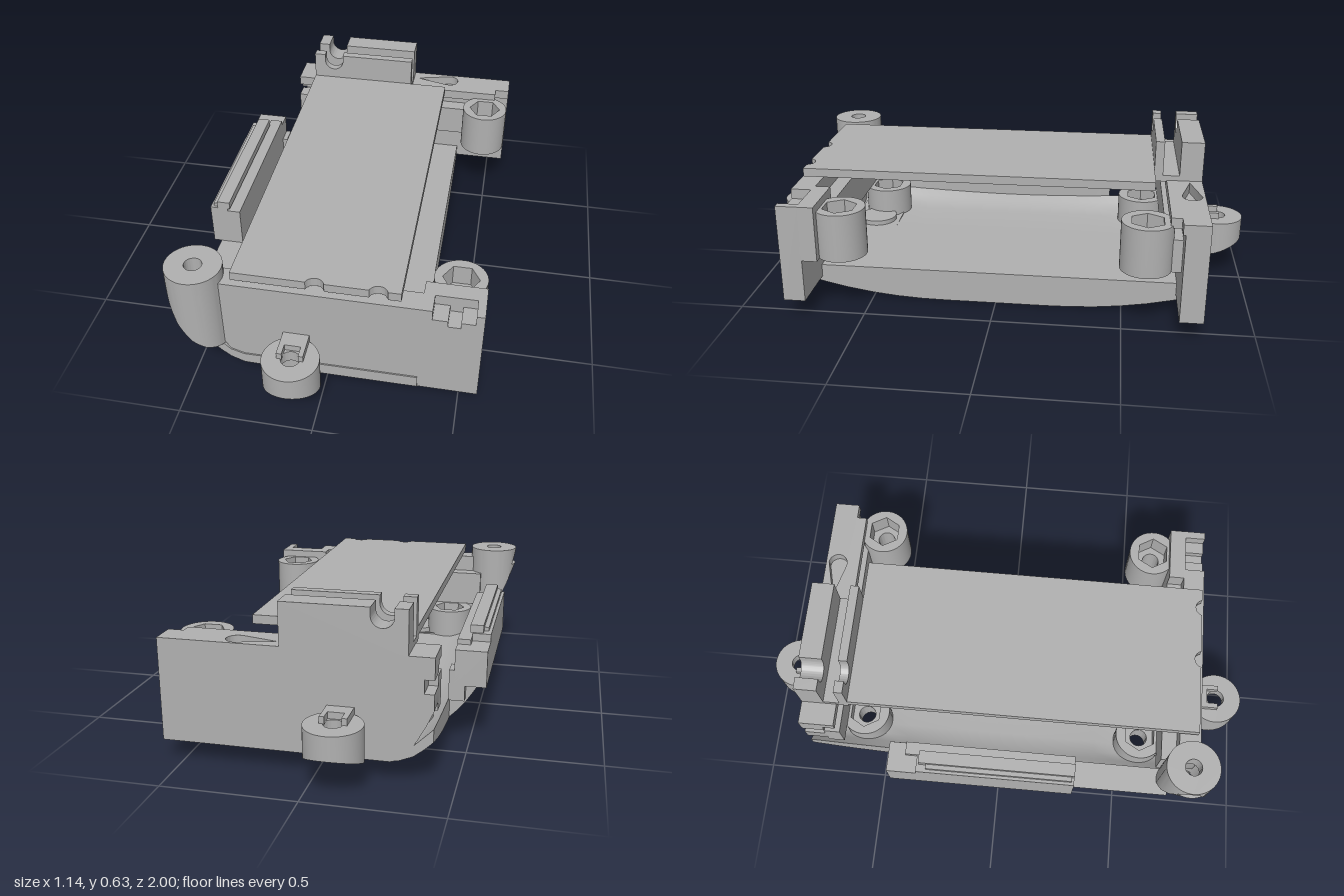
import * as THREE from 'three';
import { mergeGeometries, toCreasedNormals } from 'three/addons/utils/BufferGeometryUtils.js';

const grey = new THREE.MeshStandardMaterial({ color: 0xb0b0b0 });
grey.name = 'plain grey';

// Underside height: bows up towards both ends (z) and towards the left rim (x)
const bow = z => 0.155 * Math.pow(Math.max(0, (Math.abs(z) - 0.2) / 0.8), 2.2);
const lerpTable = (t, x) => {
  if (x <= t[0][0]) return t[0][1];
  for (let i = 1; i < t.length; i++) {
    const [x0, y0] = t[i - 1], [x1, y1] = t[i];
    if (x <= x1) return y0 + (y1 - y0) * (x - x0) / (x1 - x0);
  }
  return t[t.length - 1][1];
};
const rimCurve = x => lerpTable([[-0.42, 0.085], [-0.385, 0.052], [-0.35, 0.025], [-0.315, 0.008], [-0.28, 0]], x);
const floorTop = (x, z) => 0.13 + lerpTable([[-0.42, 1], [-0.385, 0.6], [-0.35, 0.2], [-0.3, 0]], x) * (0.04 + 0.07 * z * z);

const polygon = pts => new THREE.Shape(pts.map(p => new THREE.Vector2(p[0], p[1])));
const rect = (x0, y0, x1, y1) => polygon([[x0, y0], [x1, y0], [x1, y1], [x0, y1]]);
const disc = (x, y, r, Kind = THREE.Shape) => {
  const s = new Kind();
  s.absarc(x, y, r, 0, Math.PI * 2, false);
  return s;
};

// Plan shape (x, -z) raised from y0 to y1, optionally with reshaped bottom and top
function upright(shape, y0, y1, bottom, top) {
  const g = new THREE.ExtrudeGeometry(shape, { depth: y1 - y0, bevelEnabled: false, curveSegments: 32 });
  g.rotateX(-Math.PI / 2).translate(0, y0, 0);
  const p = g.attributes.position, mid = (y0 + y1) / 2;
  for (let i = 0; i < p.count; i++) {
    const f = p.getY(i) < mid ? bottom : top;
    if (f) p.setY(i, f(p.getX(i), p.getZ(i)));
  }
  return g;
}
// Side profile (x, y) swept from z0 to z1
const along = (shape, z0, z1, steps = 1) =>
  new THREE.ExtrudeGeometry(shape, { depth: z1 - z0, steps, bevelEnabled: false, curveSegments: 24 }).translate(0, 0, z0);

// Upright tube with a round or six-sided bore
function tube(x, z, r, bore, y0, y1, bottom, sides) {
  const s = disc(x, -z, r);
  if (sides) {
    const hole = [];
    for (let i = 0; i < sides; i++) {
      const a = i / sides * Math.PI * 2;
      hole.push(new THREE.Vector2(x + bore * Math.cos(a), -z + bore * Math.sin(a)));
    }
    s.holes.push(new THREE.Path(hole));
  } else s.holes.push(disc(x, -z, bore, THREE.Path));
  return upright(s, y0, y1, bottom);
}

export function createModel() {
  const model = new THREE.Group();
  const add = (name, ...geos) => {
    const g = toCreasedNormals(mergeGeometries(geos.map(q => q.index ? q.toNonIndexed() : q)), 0.5);
    const mesh = new THREE.Mesh(g, grey);
    mesh.name = name;
    model.add(mesh);
  };
  const box = (x0, x1, y0, y1, z0, z1) =>
    new THREE.BoxGeometry(x1 - x0, y1 - y0, z1 - z0).translate((x0 + x1) / 2, (y0 + y1) / 2, (z0 + z1) / 2);

  // Bowed floor, made of cells; two of them carry a pair of round holes
  const under = (x, z) => bow(z) + rimCurve(x);
  const cells = [];
  const cell = (x0, x1, z0, z1, holes) => {
    const s = rect(x0, -z1, x1, -z0);
    if (holes) for (const x of [-0.28, -0.148])
      s.holes.push(disc(x, -(z0 + z1) / 2, 0.063, THREE.Path));
    cells.push(upright(s, 0, 0.2, under, floorTop));
  };
  const xs = [-0.42, -0.385, -0.35, -0.3, -0.08, 0.35];
  for (let i = 0; i < 16; i++) {
    const z0 = -0.8 + i * 0.1, z1 = z0 + 0.1, holed = Math.abs(z0 + 0.05) > 0.5 && Math.abs(z0 + 0.05) < 0.7;
    for (let j = 0; j < 5; j++)
      if (!(holed && (j === 2 || j === 3))) cell(xs[j], xs[j + 1], z0, z1);
  }
  for (const s of [-1, 1]) cell(-0.35, -0.08, s * 0.6 - 0.1, s * 0.6 + 0.1, true);
  add('floorShell', ...cells);

  // Raised skirt on the left side, following the bow
  const skirt = along(polygon([[-0.42, 0.085], [-0.42, 0.24], [-0.53, 0.24], [-0.51, 0.195], [-0.48, 0.15], [-0.45, 0.115]]), -0.4, 0.7, 11);
  const sp = skirt.attributes.position;
  for (let i = 0; i < sp.count; i++) {
    const b = bow(sp.getZ(i));
    if (sp.getY(i) < 0.23) sp.setXY(i, sp.getX(i) + b * 0.4, sp.getY(i) + b);
  }
  add('leftSkirt', skirt);

  // Left panel with its ledge and end block
  add('sidePanel', box(-0.56, -0.49, 0.24, 0.41, -0.32, 0.31), box(-0.49, -0.44, 0.24, 0.4, -0.37, 0.31));
  add('panelLedge', box(-0.53, -0.48, 0.41, 0.44, -0.31, 0.31), box(-0.548, -0.53, 0.41, 0.425, -0.28, 0.3));
  add('panelEndBlock', box(-0.56, -0.44, 0.24, 0.38, -0.44, -0.32), box(-0.48, -0.42, 0.18, 0.3, -0.44, -0.37));

  // End walls
  const heel = [[-0.42, 0.28], [-0.395, 0.225], [-0.365, 0.17], [-0.335, 0.12], [-0.305, 0.09], [-0.27, 0.08]];
  add('frontWall', along(polygon([...heel, [0.57, 0.08], [0.57, 0.47], [0.54, 0.47], [0.54, 0.43], [0.49, 0.43],
    [0.49, 0.405], [0.445, 0.405], [0.445, 0.43], [0.39, 0.43], [0.39, 0.47], [-0.42, 0.47]]), 0.71, 0.795));
  add('frontWallInnerRib', box(-0.42, 0.35, 0.25, 0.4, 0.65, 0.715), box(0.35, 0.57, 0.25, 0.47, 0.65, 0.715));
  add('rearWall', along(polygon([...heel, [0.57, 0.08], [0.57, 0.43], [-0.42, 0.43], [-0.42, 0.39], [-0.385, 0.39],
    [-0.385, 0.34], [-0.42, 0.34]]), -0.8, -0.71));

  // Rear wall cap with a teardrop recess
  const cap = polygon([[-0.42, 0.66], [0.51, 0.66], [0.51, 0.7], [0.57, 0.7], [0.57, 0.8], [-0.42, 0.8]]);
  const drop = new THREE.Path();
  drop.moveTo(0.14, 0.75);
  drop.lineTo(0.28, 0.712);
  drop.absarc(0.29, 0.75, 0.038, -Math.PI / 2, Math.PI / 2, false);
  drop.lineTo(0.14, 0.75);
  cap.holes.push(drop);
  add('rearWallCap', upright(cap, 0.43, 0.47));
  add('rearWallInnerRib', box(-0.42, 0.5, 0.25, 0.38, -0.715, -0.65));

  // Raised rear uprights with a rounded notch
  const notched = y0 => {
    const s = new THREE.Shape();
    s.moveTo(-0.33, y0);
    s.lineTo(0.12, y0);
    s.lineTo(0.12, 0.63);
    s.lineTo(-0.2, 0.63);
    s.lineTo(-0.2, 0.6);
    s.absarc(-0.241, 0.6, 0.041, 0, Math.PI, true);
    s.lineTo(-0.282, 0.63);
    s.lineTo(-0.33, 0.63);
    return s;
  };
  add('rearBlock', along(notched(0.46), -0.8, -0.71));
  add('rearFin', along(notched(0.485), -0.645, -0.61));
  add('finBase', box(-0.33, 0.12, 0.465, 0.49, -0.71, -0.61));

  // Top plate with two bites in its front edge
  const plate = new THREE.Shape();
  plate.moveTo(-0.33, -0.78);
  for (const x of [-0.025, 0.2]) {
    plate.lineTo(x - 0.035, -0.78);
    plate.absarc(x, -0.79, 0.035, Math.PI - 0.29, 0.29, true);
  }
  plate.lineTo(0.28, -0.78);
  plate.lineTo(0.28, 0.61);
  plate.lineTo(-0.33, 0.61);
  add('topPlate', upright(plate, 0.483, 0.517));

  for (const s of [-1, 1]) {
    const end = s > 0 ? 'front' : 'rear';
    // Outer screw ears, cut along the bow, with a key on top
    const slant = (x, z) => bow(z);
    add(end + 'Ear', tube(-0.095, s * 0.895, 0.105, 0.035, 0.2, 0.245), tube(-0.095, s * 0.895, 0.105, 0.068, 0.05, 0.2, slant));
    const key = rect(-0.145, -0.055, -0.05, 0.055);
    key.holes.push(disc(-0.0975, -0.055, 0.037, THREE.Path));
    add(end + 'EarKey', box(-0.145, -0.125, 0.24, 0.27, s * 0.845 - 0.055, s * 0.845 + 0.055),
      box(-0.065, -0.047, 0.24, 0.27, s * 0.845 - 0.055, s * 0.845 + 0.055),
      box(-0.145, -0.047, 0.24, 0.27, s * 0.825 - 0.03, s * 0.825 + 0.03));
    // Nut bosses on the right
    add(end + 'NutBoss', tube(0.47, s * 0.58, 0.098, 0.035, 0.25, 0.36), tube(0.47, s * 0.58, 0.098, 0.068, 0.36, 0.44, null, 6));
    // Inner posts over the floor holes
    add(end + 'InnerPost', tube(-0.285, s * 0.58, 0.1, 0.035, 0.11, 0.2), tube(-0.285, s * 0.58, 0.1, 0.068, 0.2, 0.25, null, 6));
    add(end + 'LowPost', upright(disc(-0.148, -s * 0.6, 0.08), 0.11, 0.15));
  }

  // Corner column, cut by the curve of the shell
  const cut = x => lerpTable([[-0.575, 0.5], [-0.55, 0.37], [-0.52, 0.3], [-0.47, 0.235], [-0.42, 0.195], [-0.365, 0.17]], x);
  add('cornerColumn', tube(-0.47, 0.76, 0.105, 0.033, 0.4, 0.515, x => Math.max(0.44, cut(x))),
    tube(-0.47, 0.76, 0.105, 0.066, 0.1, 0.44, x => Math.min(0.439, cut(x))));
  return model;
}
